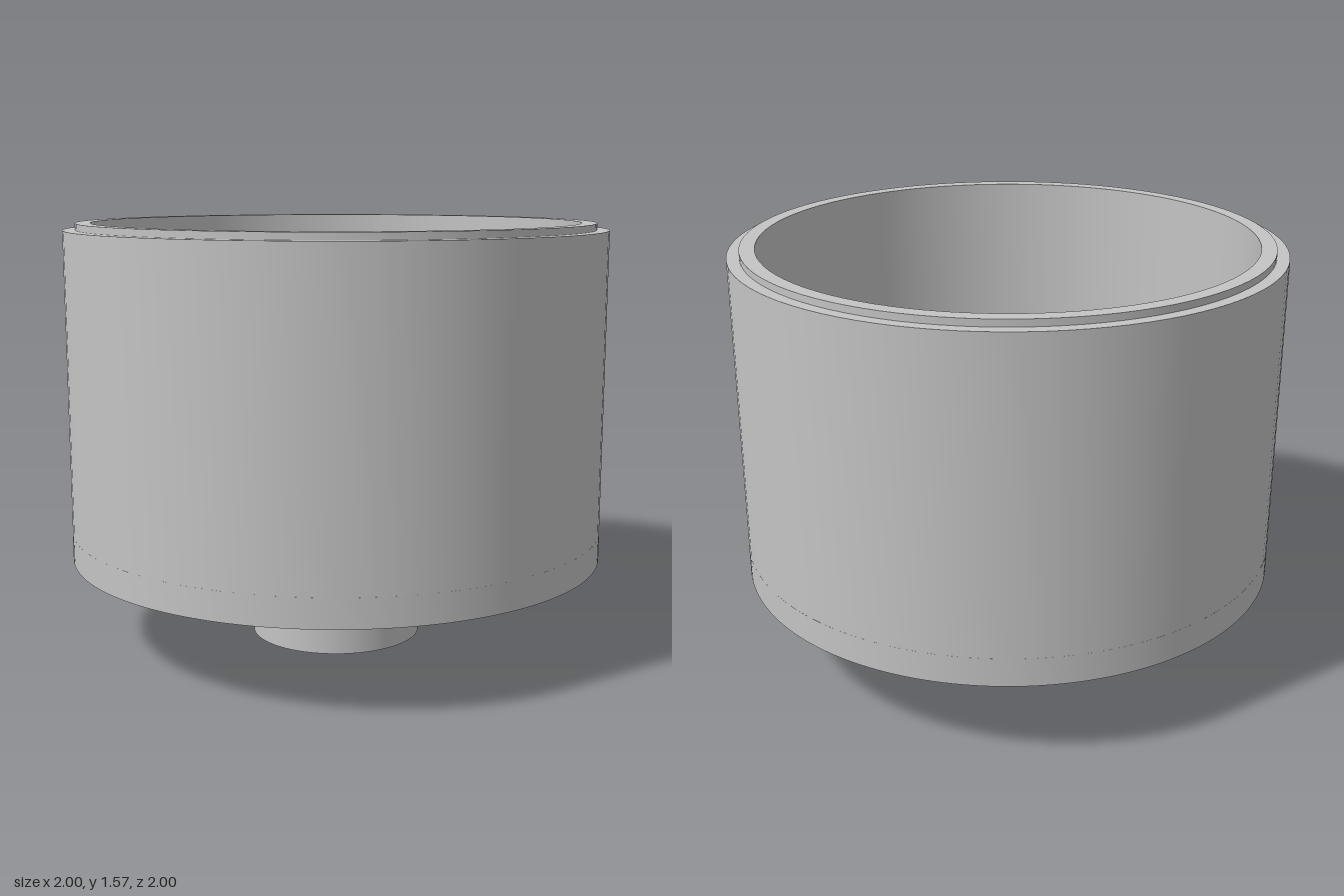
import * as THREE from 'three';
import { toCreasedNormals } from 'three/addons/utils/BufferGeometryUtils.js';

const SEGMENTS = 96;

// circular hole outline
function roundHole(r, x = 0, y = 0) {
  return new THREE.Path().absarc(x, y, r, 0, Math.PI * 2, true);
}

// hexagonal hole outline, slightly turned
function hexHole(r) {
  const points = [];
  for (let i = 0; i < 6; i++) {
    const a = THREE.MathUtils.degToRad(22.5 - i * 60);
    points.push(new THREE.Vector2(r * Math.cos(a), r * Math.sin(a)));
  }
  return new THREE.Path(points);
}

// upright disc from y0 to y1 with holes through it
function disc(radius, y0, y1, holes) {
  const shape = new THREE.Shape().absarc(0, 0, radius, 0, Math.PI * 2, false);
  shape.holes.push(...holes);
  const geometry = new THREE.ExtrudeGeometry(shape, {
    depth: y1 - y0, bevelEnabled: false, curveSegments: SEGMENTS,
  });
  geometry.rotateX(-Math.PI / 2).translate(0, y0, 0);
  return toCreasedNormals(geometry, 0.5);
}

export function createModel() {
  const group = new THREE.Group();
  const grey = new THREE.MeshStandardMaterial({ color: 0xc4c4c4 });
  grey.name = 'grey plastic';

  const add = (name, geometry) => {
    const mesh = new THREE.Mesh(geometry, grey);
    mesh.name = name;
    group.add(mesh);
  };

  const bore = 0.127, stemR = 0.32, bossR = 0.26, hexR = 0.23;
  const base = 0.325, floorTop = 0.43;

  // cup wall with a stepped lip
  const profile = [
    [1, floorTop], [1, 1.545], [0.955, 1.545], [0.955, 1.57], [0.9, 1.57], [0.9, floorTop],
  ].map(([x, y]) => new THREE.Vector2(x, y));
  add('cupWall', toCreasedNormals(new THREE.LatheGeometry(profile, SEGMENTS), 0.5));

  // floor with the centre bore and two opposite round holes
  add('cupFloor', disc(1, base, floorTop, [
    roundHole(bore), roundHole(0.093, 0.45, 0.595), roundHole(0.093, -0.45, -0.595),
  ]));

  // hollow stem below, with a hexagonal socket up inside
  add('stemCollar', disc(stemR, 0, 0.17, [roundHole(0.26)]));
  add('stemSocket', disc(stemR, 0.17, 0.3, [hexHole(hexR)]));
  add('stemRoot', disc(stemR, 0.3, base, [roundHole(bore)]));

  // inner boss with a hexagonal pocket at its top
  add('bossPost', disc(bossR, floorTop, 0.95, [roundHole(bore)]));
  add('bossPocket', disc(bossR, 0.95, 1.07, [hexHole(hexR)]));

  return group;
}
